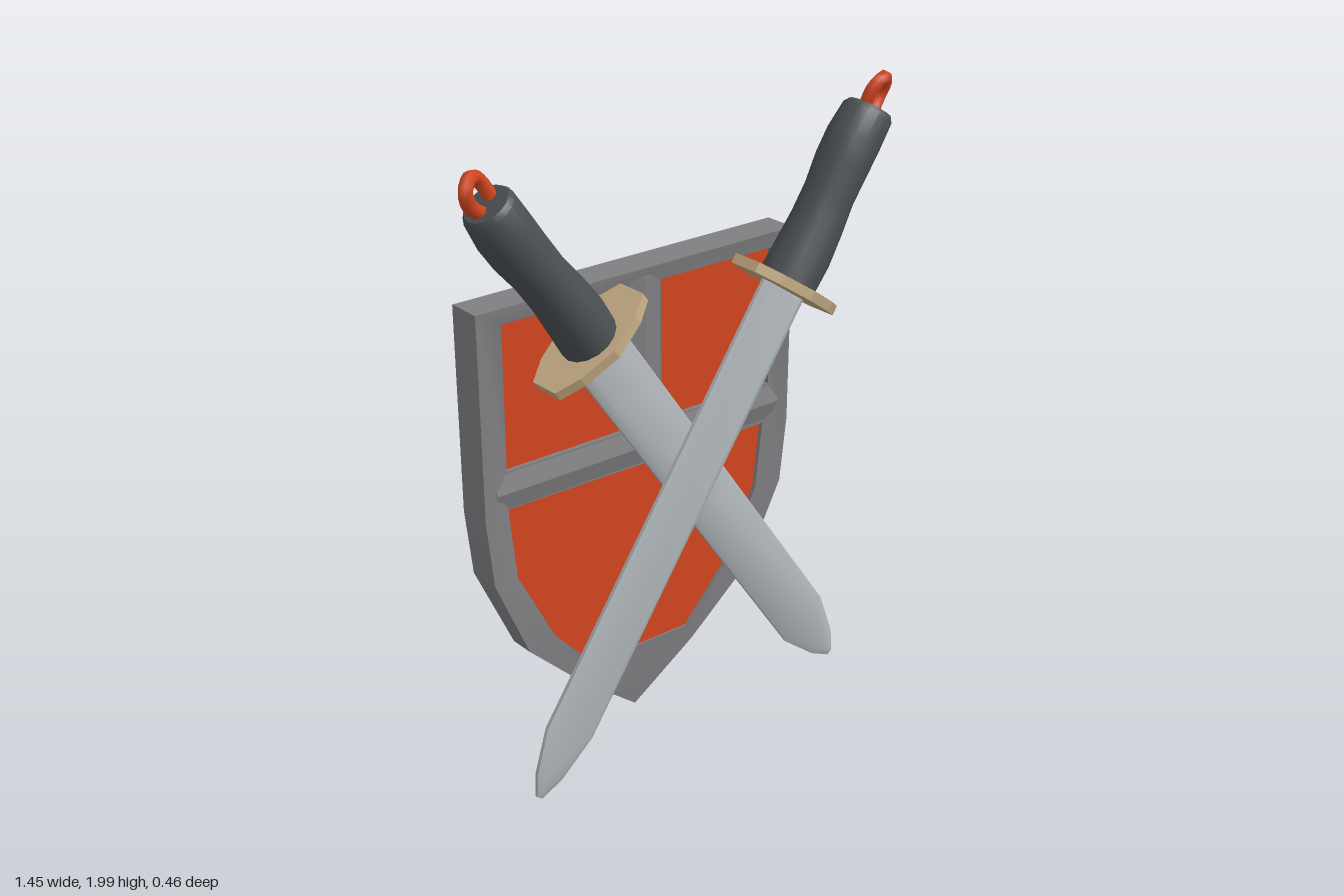
import * as THREE from 'three';
import { toCreasedNormals } from 'three/addons/utils/BufferGeometryUtils.js';

const mat = (name, color, extra = {}) => {
  const m = new THREE.MeshStandardMaterial({ color, ...extra });
  m.name = name;
  return m;
};
const shapeOf = (pts) => new THREE.Shape(pts.map(([x, y]) => new THREE.Vector2(x, y)));
const mesh = (name, geometry, material) => {
  const m = new THREE.Mesh(geometry, material);
  m.name = name;
  return m;
};
// Move every vertex of a geometry by a rule
const warp = (geometry, rule) => {
  const p = geometry.attributes.position;
  const v = new THREE.Vector3();
  for (let i = 0; i < p.count; i++) {
    v.fromBufferAttribute(p, i);
    rule(v);
    p.setXYZ(i, v.x, v.y, v.z);
  }
  return toCreasedNormals(geometry, 0.6);
};

// Shield rows from top to tip: [height, half width]
const ROWS = [[1.48, 0.575], [0.85, 0.57], [0.64, 0.547], [0.37, 0.425], [0.17, 0.215], [0, 0]];
const MID_Z = -0.175;
// Half thickness, thinning towards the tip
const halfDepth = (y) => 0.055 * (y > 0.75 ? 1 : 1 - (1 - y / 0.75) ** 2);

function createShield(mats) {
  const shield = new THREE.Group();
  shield.name = 'shield';

  // Back half: a box whose rows follow the outline
  const back = warp(new THREE.BoxGeometry(2, 2, 2, 1, ROWS.length - 1, 1), (v) => {
    const [y, w] = ROWS[Math.round((1 - v.y) / 2 * (ROWS.length - 1))];
    v.set(v.x * w, y, MID_Z + (v.z < 0 ? -halfDepth(y) : 0));
  });
  shield.add(mesh('shieldBack', back, mats.iron));

  // Sunken panels
  const panels = [
    [[-0.48, 0.98], [-0.055, 0.98], [-0.055, 1.425], [-0.48, 1.425]],
    [[0.08, 0.98], [0.505, 0.98], [0.505, 1.425], [0.08, 1.425]],
    [[-0.48, 0.86], [-0.455, 0.63], [-0.33, 0.39], [-0.18, 0.23],
      [0.185, 0.23], [0.33, 0.39], [0.46, 0.63], [0.485, 0.85]],
  ];

  // Front frame with openings; the opening edges sit lower than the rim
  const right = ROWS.map(([y, w]) => [w, y]);
  const left = ROWS.slice(0, -1).reverse().map(([y, w]) => [-w, y]);
  const outline = shapeOf([...right, ...left]);
  outline.holes = panels.map(shapeOf);
  const frame = new THREE.ExtrudeGeometry(outline, { depth: 1, bevelEnabled: false });
  const onRim = (v) => ROWS.some(([y, w]) => Math.abs(v.y - y) < 1e-4 && Math.abs(Math.abs(v.x) - w) < 1e-4);
  shield.add(mesh('shieldFrame', warp(frame, (v) => {
    const h = halfDepth(v.y);
    v.z = MID_Z + v.z * (onRim(v) ? h : Math.min(h, 0.037));
  }), mats.iron));

  panels.forEach((pts, i) => {
    const g = new THREE.ShapeGeometry(shapeOf(pts));
    g.translate(0, 0, -0.152);
    shield.add(mesh('panel' + (i + 1), g, mats.red));
  });

  // Low ridged cross bars
  const ridge = (name, width, length, x, y, turn) => {
    const g = new THREE.ExtrudeGeometry(
      shapeOf([[-width / 2, 0], [width / 2, 0], [0, 0.016]]), { depth: length, bevelEnabled: false });
    g.translate(0, 0, -length / 2);
    g.rotateX(Math.PI / 2);
    g.rotateZ(turn);
    const bar = mesh(name, g, mats.iron);
    bar.position.set(x, y, -0.139);
    shield.add(bar);
  };
  ridge('crossBar', 0.12, 1.06, 0.005, 0.918, Math.PI / 2);
  ridge('uprightBar', 0.13, 0.5, 0.0125, 1.2, 0);
  return shield;
}

// A sword pointing down -y, with the middle of the guard at the origin
function createSword(name, mats) {
  const sword = new THREE.Group();
  sword.name = name;

  const bladeShape = shapeOf([[-0.091, 0], [-0.091, -1.44], [-0.048, -1.575], [-0.008, -1.642],
    [0.012, -1.642], [0.052, -1.575], [0.091, -1.43], [0.091, 0]]);
  const blade = new THREE.ExtrudeGeometry(bladeShape, {
    depth: 0.012, bevelThickness: 0.011, bevelSize: 0.022, bevelOffset: -0.022, bevelSegments: 1,
  });
  blade.translate(0, 0, -0.006);
  sword.add(mesh('blade', toCreasedNormals(blade, 0.6), mats.steel));

  // Long eight-sided guard plate
  const guard = new THREE.ExtrudeGeometry(shapeOf([[0.185, 0.05], [0.115, 0.09], [0, 0.117], [-0.115, 0.09],
    [-0.185, 0.05], [-0.185, -0.05], [-0.115, -0.09], [0, -0.117], [0.115, -0.09], [0.185, -0.05]]),
  { depth: 0.03, bevelEnabled: false });
  guard.translate(0, 0, -0.015);
  guard.rotateX(-Math.PI / 2);
  sword.add(mesh('guard', guard, mats.brass));

  // Waisted grip with a slight sway
  const profile = [[0, 0.01], [0.086, 0.01], [0.086, 0.1], [0.08, 0.2], [0.076, 0.29], [0.081, 0.38],
    [0.082, 0.46], [0.076, 0.545], [0.066, 0.56], [0, 0.56]].map(([r, y]) => new THREE.Vector2(r, y));
  const grip = warp(new THREE.LatheGeometry(profile, 16), (v) => {
    v.x += 0.008 * Math.sin(v.y * 11);
  });
  sword.add(mesh('grip', grip, mats.leather));

  // Cord loop at the end of the grip
  const loop = new THREE.CatmullRomCurve3([[-0.015, 0.54, 0], [-0.043, 0.6, 0.015], [-0.03, 0.647, 0.022],
    [0.008, 0.648, 0], [0.028, 0.61, -0.018], [0.018, 0.54, -0.008]]
    .map((p) => new THREE.Vector3(...p)), true);
  sword.add(mesh('cordLoop', new THREE.TubeGeometry(loop, 18, 0.021, 6, true), mats.red));
  return sword;
}

export function createModel() {
  const mats = {
    iron: mat('iron grey', 0x7f7f82),
    red: mat('orange red', 0xd1451f),
    steel: mat('blade steel', 0xafb5b9),
    leather: mat('dark leather', 0x4a4f52),
    brass: mat('tan brass', 0xbfa880),
  };
  const model = new THREE.Group();
  model.name = 'shieldWithCrossedSwords';
  model.add(createShield(mats));

  const front = createSword('frontSword', mats);
  front.position.set(0.335, 1.42, 0.112);
  front.rotation.z = -0.593;

  const rear = createSword('rearSword', mats);
  rear.position.set(-0.31, 1.39, 0.04);
  rear.rotation.z = 0.612;

  model.add(front, rear);
  return model;
}
